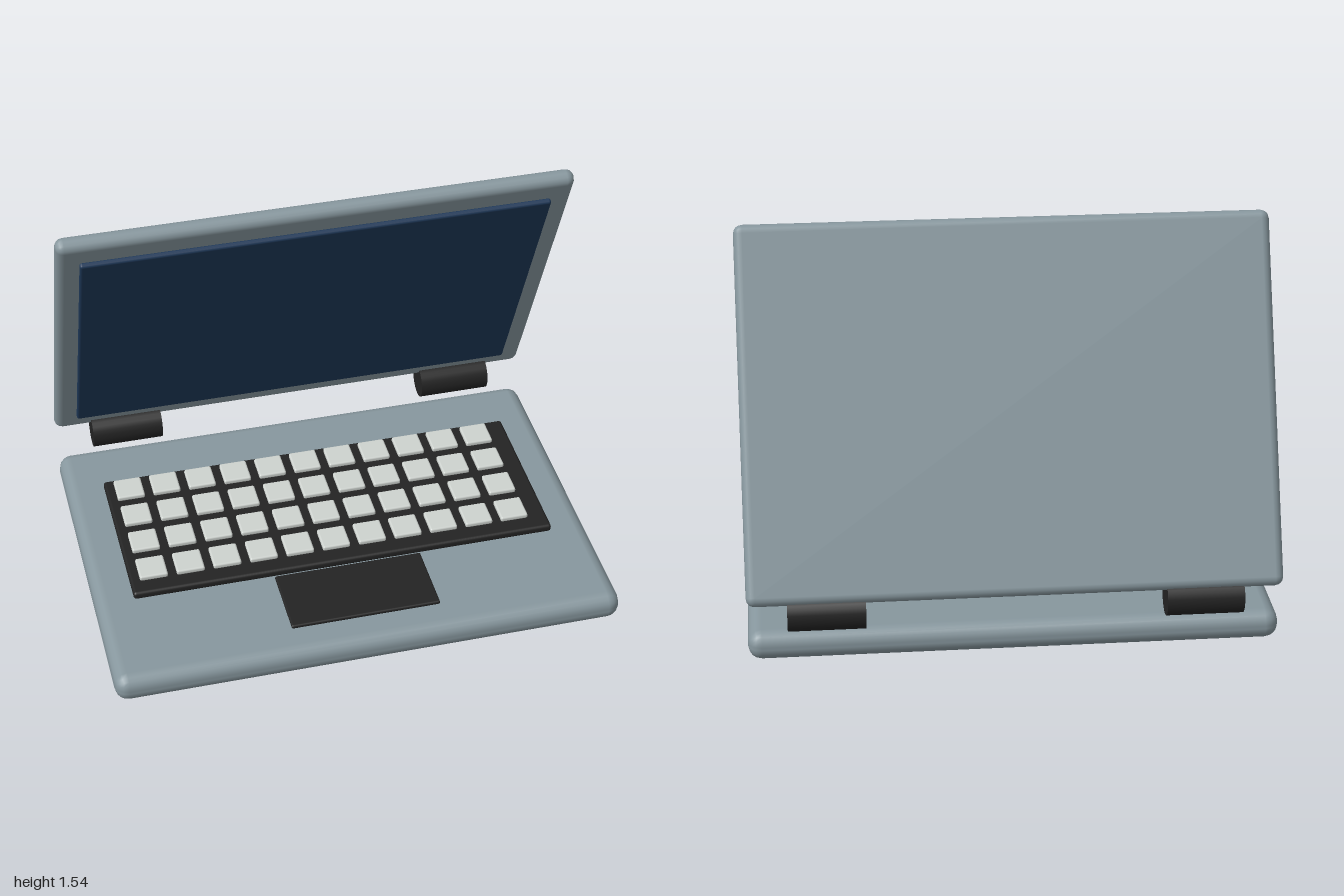
import * as THREE from 'three';
import { RoundedBoxGeometry } from 'three/addons/geometries/RoundedBoxGeometry.js';

function paint(name, color) {
  const m = new THREE.MeshStandardMaterial({ color });
  m.name = name;
  return m;
}

export function createModel() {
  const model = new THREE.Group();
  model.name = 'laptop';
  const casing = paint('grey blue casing', 0x87979e);
  const black = paint('soft black', 0x232323);
  const keyWhite = paint('pale key', 0xced3cf);
  const glass = paint('navy screen', 0x1e3858);

  // Rounded slab: size, corner radius, position
  function slab(name, parent, material, [w, h, d], radius, [x, y, z], segments = 2) {
    const mesh = new THREE.Mesh(new RoundedBoxGeometry(w, h, d, segments, radius), material);
    mesh.name = name;
    mesh.position.set(x, y, z);
    parent.add(mesh);
    return mesh;
  }

  // Lower body, keyboard tray and trackpad
  slab('base', model, casing, [2, 0.115, 1.41], 0.052, [0, 0.0595, 0.035]);
  slab('keyboardTray', model, black, [1.7, 0.032, 0.7], 0.012, [0, 0.133, -0.05]);
  slab('trackpad', model, black, [0.59, 0.016, 0.295], 0.007, [0, 0.139, 0.473]);

  // Keys in four rows of eleven
  const keys = new THREE.Group();
  keys.name = 'keys';
  model.add(keys);
  for (let row = 0; row < 4; row++) {
    for (let col = 0; col < 11; col++) {
      slab('key', keys, keyWhite, [0.112, 0.022, 0.115], 0.008,
        [-0.757 + col * 0.147, 0.162, 0.18 - row * 0.164]);
    }
  }

  // Lid leaning over the keyboard, with the screen on its front
  const lid = new THREE.Group();
  lid.name = 'lid';
  lid.position.set(0, 0.895, -0.4125);
  lid.rotation.x = 0.42;
  model.add(lid);
  slab('lidShell', lid, casing, [2, 1.407, 0.07], 0.033, [0, 0, 0]);
  slab('screen', lid, glass, [1.825, 1.2, 0.025], 0.01, [0, 0, 0.043]);

  // Hinge barrels
  for (const side of [-1, 1]) {
    const hinge = new THREE.Mesh(new THREE.CylinderGeometry(0.07, 0.07, 0.29, 24), black);
    hinge.name = side > 0 ? 'leftHinge' : 'rightHinge';
    hinge.rotation.z = Math.PI / 2;
    hinge.position.set(side * 0.705, 0.209, -0.67);
    model.add(hinge);
  }
  return model;
}
